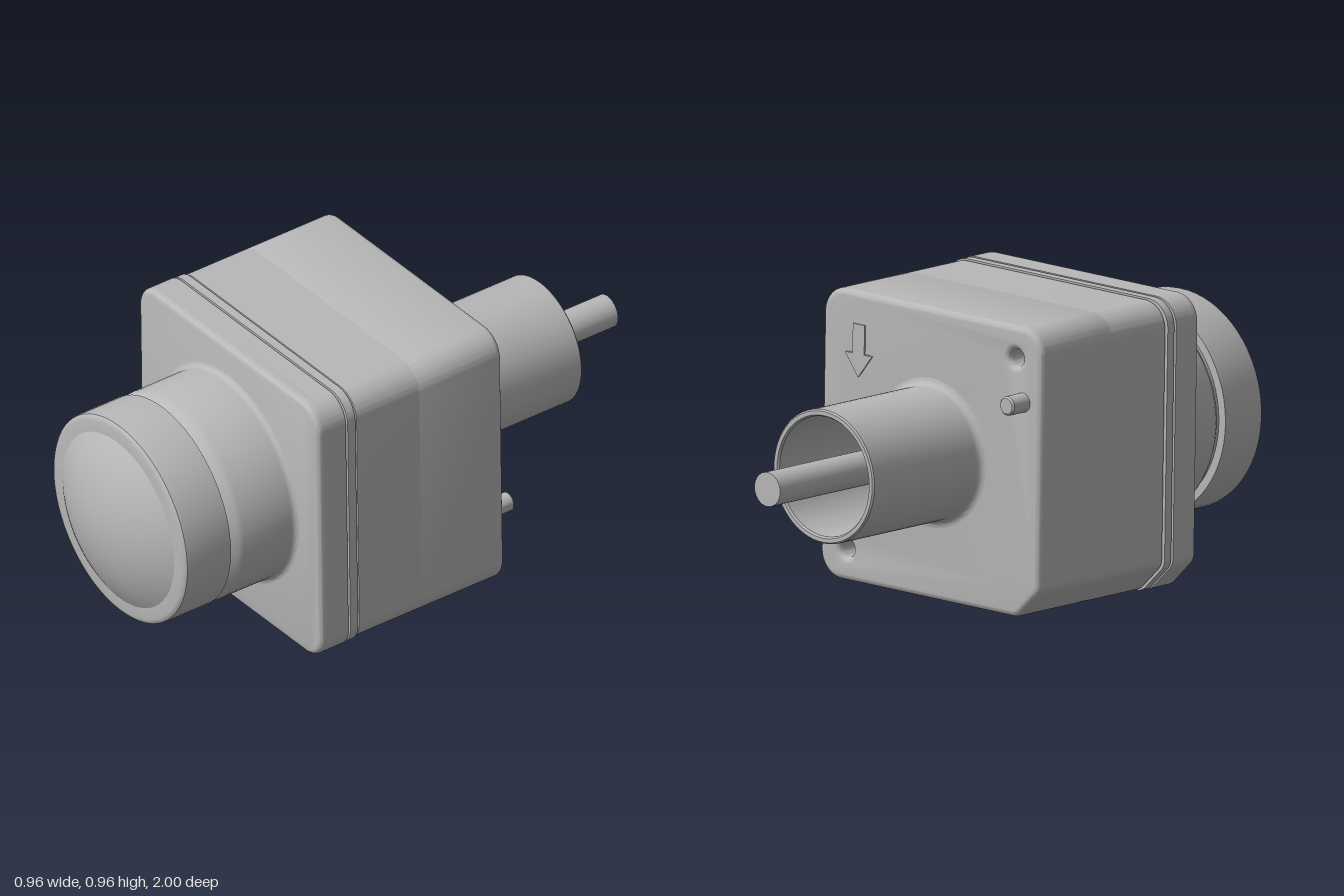
import * as THREE from 'three';
import { toCreasedNormals } from 'three/addons/utils/BufferGeometryUtils.js';

const CENTRE_Y = 0.482;
const TILT = 0.019;

// Square outline with three round corners and one chamfered corner.
function outline(h, r = 0.085, c = 0.095) {
  const s = new THREE.Shape();
  s.moveTo(-h + c + 0.02, -h);
  s.lineTo(h - r, -h);
  s.absarc(h - r, -h + r, r, -Math.PI / 2, 0);
  s.lineTo(h, h - r);
  s.absarc(h - r, h - r, r, 0, Math.PI / 2);
  s.lineTo(-h + r, h);
  s.absarc(-h + r, h - r, r, Math.PI / 2, Math.PI);
  s.lineTo(-h, -h + c + 0.02);
  s.quadraticCurveTo(-h, -h + c, -h + 0.015, -h + c - 0.015);
  s.lineTo(-h + c - 0.015, -h + 0.015);
  s.quadraticCurveTo(-h + c, -h, -h + c + 0.02, -h);
  return s;
}

// Extruded slab between two depths, with its end edges rounded by b.
function slab(shape, z0, z1, b = 0) {
  const g = new THREE.ExtrudeGeometry(shape, {
    depth: z1 - z0 - 2 * b, curveSegments: 10, bevelEnabled: b > 0,
    bevelSize: b, bevelThickness: b, bevelOffset: -b, bevelSegments: 5,
  });
  g.translate(0, 0, z0 + b);
  return toCreasedNormals(g, 0.6);
}

// Turned part about the z axis from [radius, z] pairs.
function turned(points, segments = 64) {
  const g = new THREE.LatheGeometry(points.map(([r, z]) => new THREE.Vector2(r, z)), segments);
  g.rotateX(Math.PI / 2);
  return toCreasedNormals(g, 0.6);
}

// Points of a concave quarter fillet, from the wall foot out onto the face.
function fillet(r, z, size, dir) {
  const pts = [];
  for (let i = 0; i <= 5; i++) {
    const a = (i / 5) * Math.PI / 2;
    pts.push([r + size * (1 - Math.cos(a)), z + dir * size * (1 - Math.sin(a))]);
  }
  return pts;
}

export function createModel() {
  const grey = new THREE.MeshStandardMaterial({ color: 0xb8b8b8 });
  grey.name = 'grey';
  const model = new THREE.Group();
  model.name = 'housedSensor';
  const add = (parent, name, geometry) => {
    const m = new THREE.Mesh(geometry, grey);
    m.name = name;
    parent.add(m);
    return m;
  };

  // Slightly rolled square housing
  const housing = new THREE.Group();
  housing.name = 'housing';
  housing.position.y = CENTRE_Y;
  housing.rotation.z = TILT;
  model.add(housing);

  const back = outline(0.468);
  for (const s of [1, -1]) {
    const hole = new THREE.Path();
    hole.absarc(-0.355 * s, 0.365 * s, 0.028, 0, Math.PI * 2, true);
    back.holes.push(hole);
  }
  add(housing, 'housingBack', slab(back, -0.245, 0.1, 0.02));
  add(housing, 'housingMiddle', slab(outline(0.468), 0.08, 0.325));
  add(housing, 'seamCore', slab(outline(0.457), 0.3, 0.4));
  add(housing, 'seamBand', slab(outline(0.472), 0.333, 0.363));
  add(housing, 'coverRim', slab(outline(0.473), 0.371, 0.46));
  add(housing, 'coverFront', slab(outline(0.473), 0.42, 0.48, 0.02));

  // Locating pins beside the two screw holes
  for (const s of [1, -1]) {
    const pin = turned([[0, -0.322], [0.025, -0.322], [0.031, -0.316], [0.031, -0.2]], 24);
    add(housing, 'locatingPin', pin).position.set(-0.39 * s, 0.228 * s, 0);
  }

  // Thin raised arrow outline on the back, pointing down
  const arrowPoints = (k) => [[-0.025, 0.085], [0.025, 0.085], [0.025, -0.01], [0.058, -0.01],
    [0, -0.085], [-0.058, -0.01], [-0.025, -0.01]].map(([x, y]) => new THREE.Vector2(x * k, y * k));
  const arrow = new THREE.Shape(arrowPoints(1));
  arrow.holes.push(new THREE.Path(arrowPoints(0.8)));
  add(housing, 'directionArrow', slab(arrow, -0.25, -0.243)).position.set(0.31, 0.28, 0);

  // Front neck, narrowed below the cap
  const neck = [...fillet(0.353, 0.48, 0.02, 1).reverse(),
    [0.352, 0.685], [0.345, 0.7], [0.325, 0.725], [0.325, 0.75]];
  add(model, 'frontNeck', turned(neck)).position.y = CENTRE_Y;

  // Cap with rounded rim
  const cap = [[0.3, 0.736], [0.353, 0.736], [0.353, 0.895], [0.351, 0.905], [0.344, 0.911],
    [0.335, 0.913], [0.29, 0.913]];
  add(model, 'frontCap', turned(cap)).position.y = CENTRE_Y;

  // Shallow dome in the cap
  const dome = [];
  const domeR = 0.555;
  const domeAngle = Math.asin(0.295 / domeR);
  for (let i = 0; i <= 12; i++) {
    const a = domeAngle * (1 - i / 12);
    dome.push([domeR * Math.sin(a), 1 - domeR + domeR * Math.cos(a)]);
  }
  add(model, 'dome', turned(dome)).position.y = CENTRE_Y;

  // Hollow rear sleeve and the rod through it
  const sleeve = [[0, -0.28], [0.192, -0.28], [0.192, -0.735], [0.197, -0.742], [0.21, -0.742],
    [0.215, -0.737], ...fillet(0.215, -0.245, 0.025, -1)];
  add(model, 'rearSleeve', turned(sleeve)).position.y = CENTRE_Y + 0.003;
  const rod = [[0, -1], [0.055, -1], [0.055, -0.27]];
  add(model, 'rearRod', turned(rod, 32)).position.y = CENTRE_Y + 0.003;

  return model;
}
